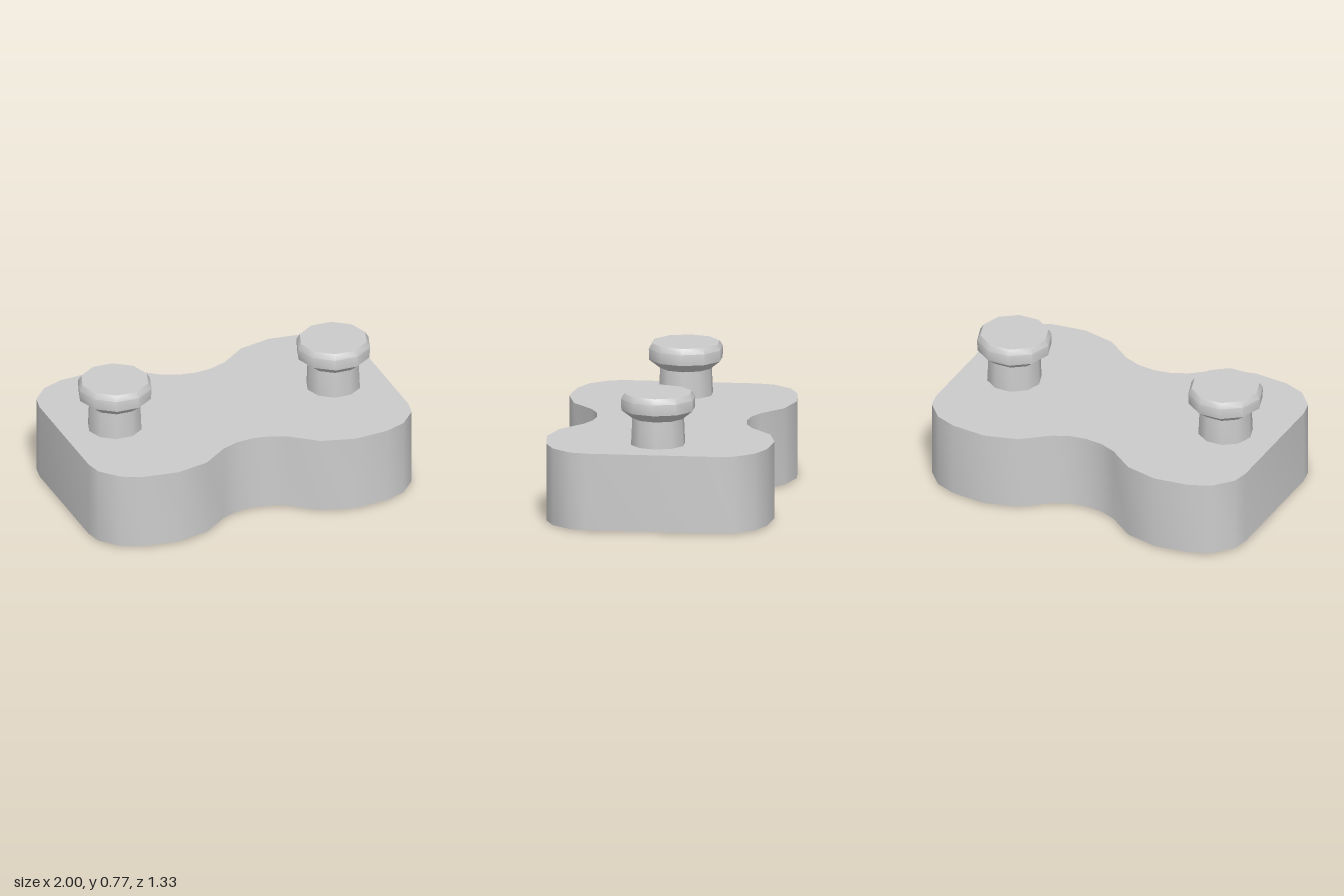
import * as THREE from 'three';
import { toCreasedNormals } from 'three/addons/utils/BufferGeometryUtils.js';

const material = new THREE.MeshStandardMaterial({ color: 0xcccccc });
const CREASE = 0.7;

// Peanut-shaped block: one quarter of the outline, mirrored across both axes
function makeBody() {
  const quarter = [[1, 0.38], [0.98, 0.48], [0.885, 0.59], [0.76, 0.643], [0.55, 0.665],
    [0.355, 0.615], [0.2, 0.492], [0.1, 0.45], [0, 0.437]];
  const half = [...quarter, ...quarter.slice(0, -1).reverse().map(([x, z]) => [-x, z])];
  const outline = [...half, ...half.map(([x, z]) => [-x, -z])];
  const shape = new THREE.Shape(outline.map(([x, z]) => new THREE.Vector2(x, z)));
  const geometry = new THREE.ExtrudeGeometry(shape, { depth: 0.455, bevelEnabled: false });
  geometry.rotateX(-Math.PI / 2);
  geometry.translate(0, 0.006, 0);
  const body = new THREE.Mesh(toCreasedNormals(geometry, CREASE), material);
  body.name = 'body';
  return body;
}

// Ten-sided peg running through the block, with a flared flat head
function makePeg() {
  const profile = [[0, 0], [0.16, 0], [0.16, 0.46], [0.153, 0.62], [0.217, 0.67],
    [0.22, 0.735], [0.2, 0.768], [0, 0.768]].map(([r, y]) => new THREE.Vector2(r, y));
  const geometry = new THREE.LatheGeometry(profile, 10, Math.PI / 2);
  return new THREE.Mesh(toCreasedNormals(geometry, CREASE), material);
}

export function createModel() {
  const model = new THREE.Group();
  model.name = 'doublePegBlock';
  model.add(makeBody());
  for (const [name, side] of [['leftPeg', 1], ['rightPeg', -1]]) {
    const peg = makePeg();
    peg.name = name;
    peg.position.x = side * 0.683;
    model.add(peg);
  }
  return model;
}
